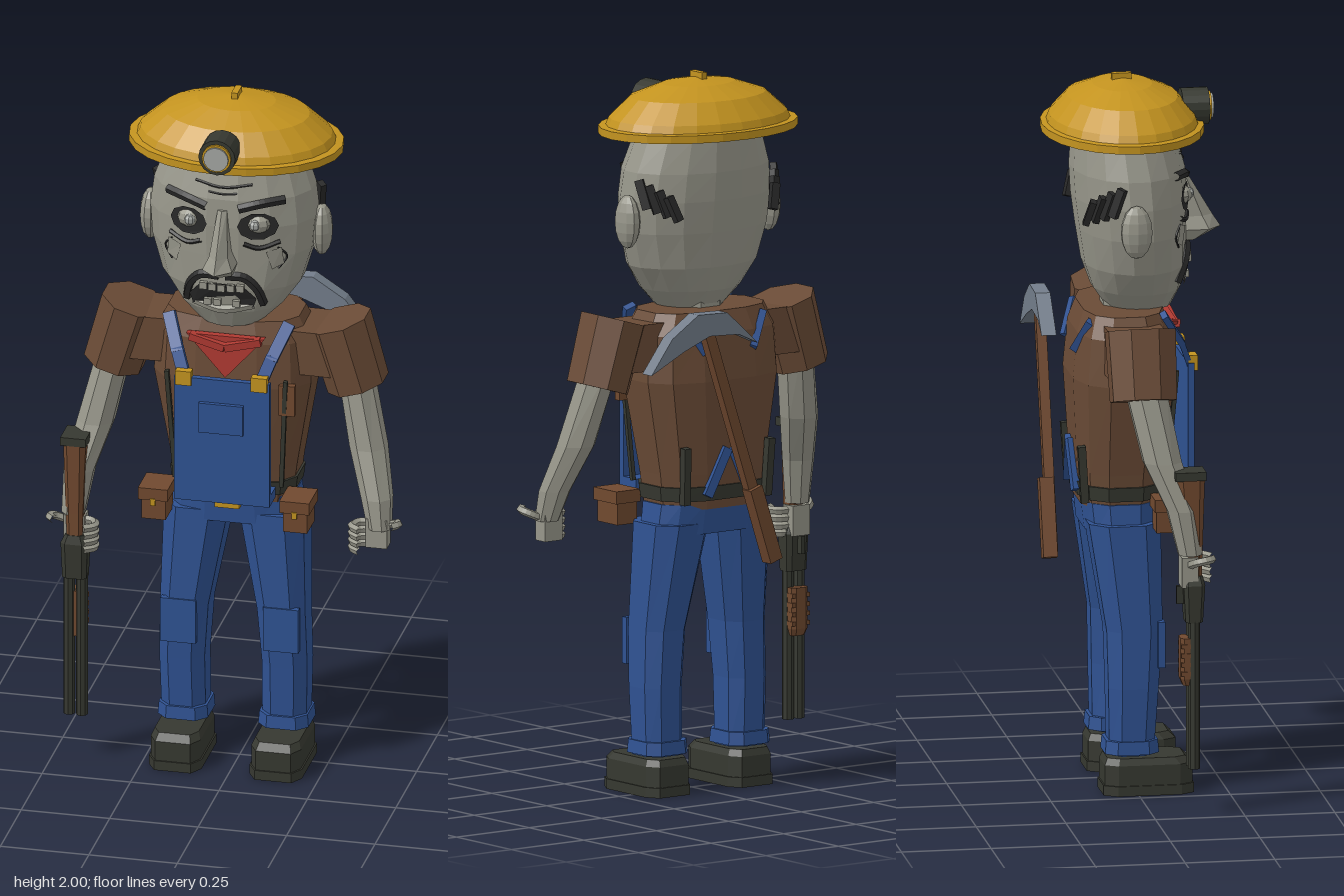
import * as THREE from 'three';

const mat = (name, color) => {
  const m = new THREE.MeshStandardMaterial({ color, flatShading: true });
  m.name = name;
  return m;
};

export function createModel() {
  const skin = mat('grey skin', 0x97968a), yellow = mat('yellow', 0xc3931f), shirt = mat('brown shirt', 0x6a4b36);
  const leather = mat('leather and wood', 0x70492f), blue = mat('blue denim', 0x2f5292), dark = mat('dark metal', 0x363830);
  const red = mat('red cloth', 0xb03a32), steel = mat('steel', 0x737d8a), black = mat('black hair', 0x282828);
  const lens = mat('pale glass', 0xa3a6a2);
  red.side = black.side = THREE.DoubleSide;

  const model = new THREE.Group();
  model.name = 'miner';
  const body = new THREE.Group();
  body.name = 'body';
  body.position.x = -0.012;
  model.add(body);

  const add = (name, geo, m, x = 0, y = 0, z = 0, parent = body) => {
    const mesh = new THREE.Mesh(geo, m);
    mesh.name = name;
    mesh.position.set(x, y, z);
    parent.add(mesh);
    return mesh;
  };
  const box = (name, m, w, h, d, x, y, z, parent) => add(name, new THREE.BoxGeometry(w, h, d), m, x, y, z, parent);
  const V = (p) => new THREE.Vector3(...p);

  // Skin horizontal rings [x, y, z, rx, rz], listed from bottom to top
  const loft = (rings, n = 8, e = 1) => {
    const pos = [], idx = [], pw = (v) => Math.sign(v) * Math.abs(v) ** e;
    for (const [x, y, z, rx, rz] of rings)
      for (let j = 0; j < n; j++) {
        const t = ((j + 0.5) / n) * Math.PI * 2, k = pw(Math.cos(Math.PI / n));
        pos.push(x + (rx * pw(Math.cos(t))) / k, y, z + (rz * pw(Math.sin(t))) / k);
      }
    const top = (rings.length - 1) * n;
    for (let j = 0; j < n; j++) {
      const q = (j + 1) % n;
      for (let i = 0; i < top; i += n) idx.push(i + j, i + n + j, i + q, i + q, i + n + j, i + n + q);
      if (j > 0 && j < n - 1) idx.push(0, j, q, top, top + q, top + j);
    }
    const g = new THREE.BufferGeometry();
    g.setAttribute('position', new THREE.Float32BufferAttribute(pos, 3));
    g.setIndex(idx);
    g.computeVertexNormals();
    return g;
  };
  // Straight bar between two points, with its width and depth
  const bar = (name, m, a, b, w, d, parent) => {
    const p = V(a), q = V(b);
    const mesh = box(name, m, w, p.distanceTo(q), d, 0, 0, 0, parent);
    mesh.position.copy(p).add(q).multiplyScalar(0.5);
    mesh.quaternion.setFromUnitVectors(new THREE.Vector3(0, 1, 0), q.sub(p).normalize());
    return mesh;
  };
  const tube = (name, m, pts, r, parent) =>
    add(name, new THREE.TubeGeometry(new THREE.CatmullRomCurve3(pts.map(V)), pts.length * 3, r, 5), m, 0, 0, 0, parent);

  // Head and neck
  const headRings = [
    [0, 1.345, 0.03, 0.09, 0.09], [0, 1.4, 0.025, 0.145, 0.122], [0, 1.47, 0.018, 0.195, 0.14], [0, 1.57, 0.01, 0.225, 0.148],
    [0, 1.66, 0.005, 0.232, 0.155], [0, 1.74, 0.0, 0.222, 0.155], [0, 1.83, -0.01, 0.19, 0.14], [0, 1.88, -0.01, 0.14, 0.1],
  ];
  add('head', loft(headRings, 16), skin);
  add('neck', loft([[0, 1.26, 0, 0.07, 0.07], [0, 1.37, 0.01, 0.08, 0.08]]), skin);

  // Depth of the face at a given spot
  const faceZ = (x, y) => {
    let i = 0;
    while (i < headRings.length - 2 && headRings[i + 1][1] < y) i++;
    const a = headRings[i], b = headRings[i + 1], t = (y - a[1]) / (b[1] - a[1]);
    const [z, rx, rz] = [2, 3, 4].map((k) => a[k] + (b[k] - a[k]) * t);
    return z + rz * Math.sqrt(Math.max(0, 1 - (x / rx) ** 2));
  };
  const line = (name, m, pts, r) => tube(name, m, pts.map(([x, y]) => [x, y, faceZ(x, y) + 0.004]), r);
  const patch = (name, m, pts, lift) => {
    const g = new THREE.ShapeGeometry(new THREE.Shape(pts.map((p) => new THREE.Vector2(...p))));
    const p = g.attributes.position;
    for (let i = 0; i < p.count; i++) p.setZ(i, faceZ(p.getX(i), p.getY(i)) + lift);
    return add(name, g, m);
  };

  // Nose, mouth and forehead
  add('nose', loft([[0, 1.525, 0.165, 0.032, 0.03], [0, 1.555, 0.185, 0.042, 0.066], [0, 1.59, 0.175, 0.026, 0.055],
    [0, 1.71, 0.15, 0.013, 0.015]], 6), skin);
  patch('mouth', black, [[-0.085, 1.42], [0.085, 1.42], [0.095, 1.45], [0.06, 1.49], [0, 1.495], [-0.06, 1.49], [-0.095, 1.45]], 0.016);
  for (let i = -2; i <= 2; i++) box('upper tooth', skin, 0.021, 0.02, 0.012, i * 0.026, 1.482, 0.172 - Math.abs(i) * 0.004);
  for (const i of [-1.5, -0.5, 1.5]) box('lower tooth', skin, 0.021, 0.018, 0.012, i * 0.027, 1.434, 0.16);
  line('lower lip', skin, [[-0.085, 1.425], [0, 1.41], [0.085, 1.425]], 0.012);
  line('forehead wrinkle', black, [[-0.08, 1.785], [0, 1.775], [0.08, 1.785]], 0.004);
  line('forehead wrinkle', black, [[-0.04, 1.76], [0, 1.757], [0.04, 1.76]], 0.003);

  for (const s of [-1, 1]) {
    // Eyes, brows, moustache, cheeks
    const ring = Array.from({ length: 10 }, (_, i) => i * Math.PI * 0.2 * s)
      .map((t) => [s * (0.098 + 0.055 * Math.cos(t) * s), 1.667 + 0.04 * Math.sin(t)]);
    patch('eye socket', black, ring, 0.007);
    add('eyeball', new THREE.SphereGeometry(0.034, 10, 6), skin, s * 0.096, 1.672, 0.132).scale.set(1.1, 0.85, 1);
    add('pupil', new THREE.SphereGeometry(0.016, 8, 5), lens, s * 0.092, 1.674, 0.158);
    line('eyebrow', black, [[s * 0.045, 1.718], [s * 0.1, 1.732], [s * 0.165, 1.738]], 0.013);
    line('eye bag', black, [[s * 0.06, 1.615], [s * 0.1, 1.602], [s * 0.155, 1.618]], 0.007);
    line('moustache', black, [[s * 0.01, 1.515], [s * 0.06, 1.512], [s * 0.092, 1.48], [s * 0.108, 1.425]], 0.013);
    patch('cheekbone', lens, [[s * 0.12, 1.59], [s * 0.16, 1.6], [s * 0.165, 1.55], [s * 0.135, 1.535]].sort((a, b) => 0), 0.008)
      .material = skin;
    line('cheek fold', black, [[s * 0.15, 1.6], [s * 0.172, 1.57], [s * 0.15, 1.535]], 0.003);
    // Ears and side hair
    add('ear', new THREE.SphereGeometry(1, 10, 8), skin, s * 0.242, 1.605, -0.012).scale.set(0.03, 0.075, 0.045);
    for (let i = 0; i < 4; i++)
      bar('side hair', black, [s * (0.232 - i * 0.016), 1.725 - i * 0.014, -0.05 - i * 0.024],
        [s * (0.222 - i * 0.02), 1.645 - i * 0.01, -0.075 - i * 0.022], 0.018, 0.024);
  }

  // Helmet with headlamp
  const profile = [[0, 1.84], [0.3, 1.84], [0.3, 1.862], [0.278, 1.864], [0.268, 1.885], [0.205, 1.94], [0.11, 1.972], [0, 1.987]];
  add('helmet', new THREE.LatheGeometry(profile.map((p) => new THREE.Vector2(...p)), 24), yellow, 0, 0, -0.013).scale.z = 0.745;
  box('helmet crest', yellow, 0.018, 0.024, 0.055, 0, 1.988, -0.015);
  const disc = (name, m, r, z0, z1) =>
    add(name, new THREE.CylinderGeometry(r, r, z1 - z0, 16), m, 0, 1.897, (z0 + z1) / 2).rotation.x = Math.PI / 2;
  disc('lamp housing', dark, 0.052, 0.15, 0.225);
  disc('lamp rim', yellow, 0.041, 0.2, 0.232);
  disc('lamp lens', lens, 0.035, 0.22, 0.238);

  // Torso
  add('shirt', loft([[0, 0.8, -0.03, 0.165, 0.11], [0, 0.9, -0.03, 0.178, 0.12], [0, 1.16, -0.022, 0.222, 0.142],
    [0, 1.29, -0.022, 0.215, 0.13], [0, 1.35, -0.022, 0.185, 0.11]], 12, 0.7), shirt);
  add('belt', loft([[0, 0.825, -0.03, 0.175, 0.119], [0, 0.865, -0.03, 0.18, 0.123]], 12, 0.7), dark);
  box('belt buckle', yellow, 0.07, 0.04, 0.02, 0, 0.808, 0.095);
  box('chest pocket', leather, 0.045, 0.09, 0.02, 0.17, 1.13, 0.1);

  // Bib and neckerchief
  box('bib', blue, 0.27, 0.37, 0.018, 0, 1.015, 0.158);
  box('bib hem', blue, 0.27, 0.03, 0.07, 0, 0.845, 0.125);
  box('bib pocket', blue, 0.125, 0.088, 0.014, 0, 1.087, 0.172);
  const kerchief = new THREE.Shape([[-0.11, 1.315], [0, 1.19], [0.11, 1.315]].map((p) => new THREE.Vector2(...p)));
  add('neckerchief', new THREE.ExtrudeGeometry(kerchief, { depth: 0.02, bevelEnabled: false }), red, 0, 0, 0.105);
  for (const s of [-1, 1]) bar('neckerchief fold', red, [s * 0.1, 1.308, 0.122], [0, 1.285, 0.13], 0.022, 0.022);

  // Trouser seat
  add('trouser seat', loft([[0, 0.73, -0.03, 0.182, 0.1], [0, 0.815, -0.032, 0.172, 0.108]], 12, 0.7), blue);

  for (const s of [-1, 1]) {
    // Straps, buckles and back gear
    bar('front strap', blue, [s * 0.105, 1.19, 0.158], [s * 0.135, 1.27, 0.128], 0.034, 0.016);
    bar('front strap', blue, [s * 0.132, 1.26, 0.132], [s * 0.17, 1.35, 0.075], 0.034, 0.018);
    box('strap buckle', yellow, 0.045, 0.042, 0.026, s * 0.107, 1.2, 0.164);
    bar('back strap', blue, [s * 0.14, 1.33, -0.122], [s * 0.08, 1.24, -0.158], 0.026, 0.02);
    bar('back strap', blue, [s * 0.01, 0.97, -0.158], [s * 0.075, 0.84, -0.152], 0.026, 0.026);
    bar('back brace', dark, [s * 0.14, 0.82, -0.14], [s * 0.145, 0.98, -0.15], 0.022, 0.022);
    bar('shirt seam', dark, [s * 0.15, 0.86, 0.085], [s * 0.168, 1.19, 0.112], 0.012, 0.012);
    // Belt pouches
    box('pouch', leather, 0.068, 0.075, 0.09, s * 0.2, 0.785, 0.09);
    box('pouch flap', leather, 0.084, 0.035, 0.105, s * 0.2, 0.825, 0.092);
    box('pouch clasp', yellow, 0.014, 0.02, 0.008, s * 0.2, 0.803, 0.144);

    // Legs
    add('trouser leg', loft([[s * 0.142, 0.11, -0.015, 0.062, 0.062], [s * 0.145, 0.3, -0.01, 0.064, 0.07],
      [s * 0.137, 0.46, -0.006, 0.068, 0.078], [s * 0.105, 0.76, -0.03, 0.092, 0.1]], 8, 0.75), blue);
    add('trouser cuff', loft([[s * 0.142, 0.115, -0.015, 0.071, 0.075], [s * 0.142, 0.152, -0.015, 0.068, 0.072]], 8, 0.6), blue);
    box('knee patch', blue, 0.1, 0.13, 0.02, s * 0.145, 0.42, 0.066);
    // Shoes
    add('shoe sole', loft([[s * 0.142, 0, 0.03, 0.074, 0.126], [s * 0.142, 0.028, 0.03, 0.074, 0.126]], 8, 0.4), dark);
    add('shoe', loft([[s * 0.142, 0.02, 0.03, 0.07, 0.122], [s * 0.142, 0.085, 0.03, 0.07, 0.122],
      [s * 0.142, 0.104, 0.024, 0.062, 0.108]], 8, 0.4), dark);

    // Sleeves
    const sleeve = add('sleeve', new THREE.CylinderGeometry(0.092, 0.087, 0.195, 8, 1, false, Math.PI / 8), shirt, s * 0.317, 1.245, -0.01);
    sleeve.rotation.z = s * 0.29;
    sleeve.scale.z = 1.1;
    bar('shoulder', shirt, [s * 0.16, 1.26, -0.015], [s * 0.29, 1.26, -0.012], 0.13, 0.16);
    // Forearms
    const low = s < 0 ? 0.04 : 0;
    add('forearm', loft([[s * 0.432, 0.775 - low, 0.105, 0.032, 0.032], [s * 0.42, 0.86, 0.085, 0.042, 0.042],
      [s * 0.385, 0.99, 0.035, 0.05, 0.052], [s * 0.34, 1.19, -0.005, 0.046, 0.056]]), skin);
    // Hands
    const hand = new THREE.Group();
    hand.name = 'hand';
    hand.position.y = s < 0 ? -0.075 : 0;
    body.add(hand);
    box('palm', skin, 0.06, 0.085, 0.045, s * 0.427, 0.762, 0.102, hand);
    for (let i = 0; i < 4; i++) {
      const y = 0.727 + i * 0.021;
      tube('finger', skin, [[s * 0.42, y, 0.105], [s * 0.374, y, 0.115], [s * 0.363, y, 0.148], [s * 0.392, y, 0.174]], 0.0115, hand);
    }
    tube('thumb', skin, [[s * 0.43, 0.775, 0.1], [s * 0.482, 0.797, 0.115], [s * 0.492, 0.805, 0.143], [s * 0.475, 0.805, 0.162]], 0.012, hand);
  }

  // Double-barrelled gun held muzzle down
  const gun = new THREE.Group();
  gun.name = 'shotgun';
  gun.position.set(-0.437, 0, 0.115);
  model.add(gun);
  add('stock', loft([[0, 0.66, 0, 0.022, 0.022], [0, 0.74, 0, 0.024, 0.024], [0, 0.955, -0.01, 0.032, 0.04]], 8, 0.6), leather, 0, 0, 0, gun);
  box('butt plate', dark, 0.072, 0.024, 0.086, 0, 0.96, -0.011, gun);
  add('receiver', loft([[0, 0.545, 0, 0.034, 0.024], [0, 0.65, 0, 0.038, 0.03], [0, 0.675, 0, 0.026, 0.024]], 8, 0.5), dark, 0, 0, 0, gun);
  for (const s of [-1, 1]) add('barrel', new THREE.CylinderGeometry(0.0165, 0.0165, 0.43, 8), dark, s * 0.018, 0.345, 0, gun);
  add('fore grip', loft([[0, 0.365, -0.012, 0.022, 0.018], [0, 0.385, -0.016, 0.028, 0.022], [0, 0.5, -0.016, 0.028, 0.022]], 8, 0.6), leather, 0, 0, 0, gun);
  for (let i = 0; i < 4; i++) box('grip rib', leather, 0.06, 0.012, 0.03, 0, 0.4 + i * 0.026, -0.022, gun);
  box('trigger guard', dark, 0.012, 0.05, 0.024, 0, 0.62, -0.035, gun);

  // Pickaxe slung on the back
  const pick = new THREE.Group();
  pick.name = 'pickaxe';
  pick.position.z = -0.222;
  model.add(pick);
  bar('pickaxe handle', leather, [0.125, 1.34, 0], [-0.1, 0.67, 0], 0.032, 0.028, pick);
  bar('pickaxe grip', leather, [-0.035, 0.865, -0.008], [-0.105, 0.655, -0.008], 0.042, 0.04, pick);
  const blade = new THREE.Shape([[-0.045, 1.27], [0.02, 1.3], [0.12, 1.305], [0.21, 1.27], [0.322, 1.215], [0.25, 1.31],
    [0.16, 1.368], [0.06, 1.365]].map((p) => new THREE.Vector2(...p)));
  add('pickaxe head', new THREE.ExtrudeGeometry(blade, { depth: 0.042, bevelEnabled: false }), steel, 0, 0, -0.021, pick);

  return model;
}
